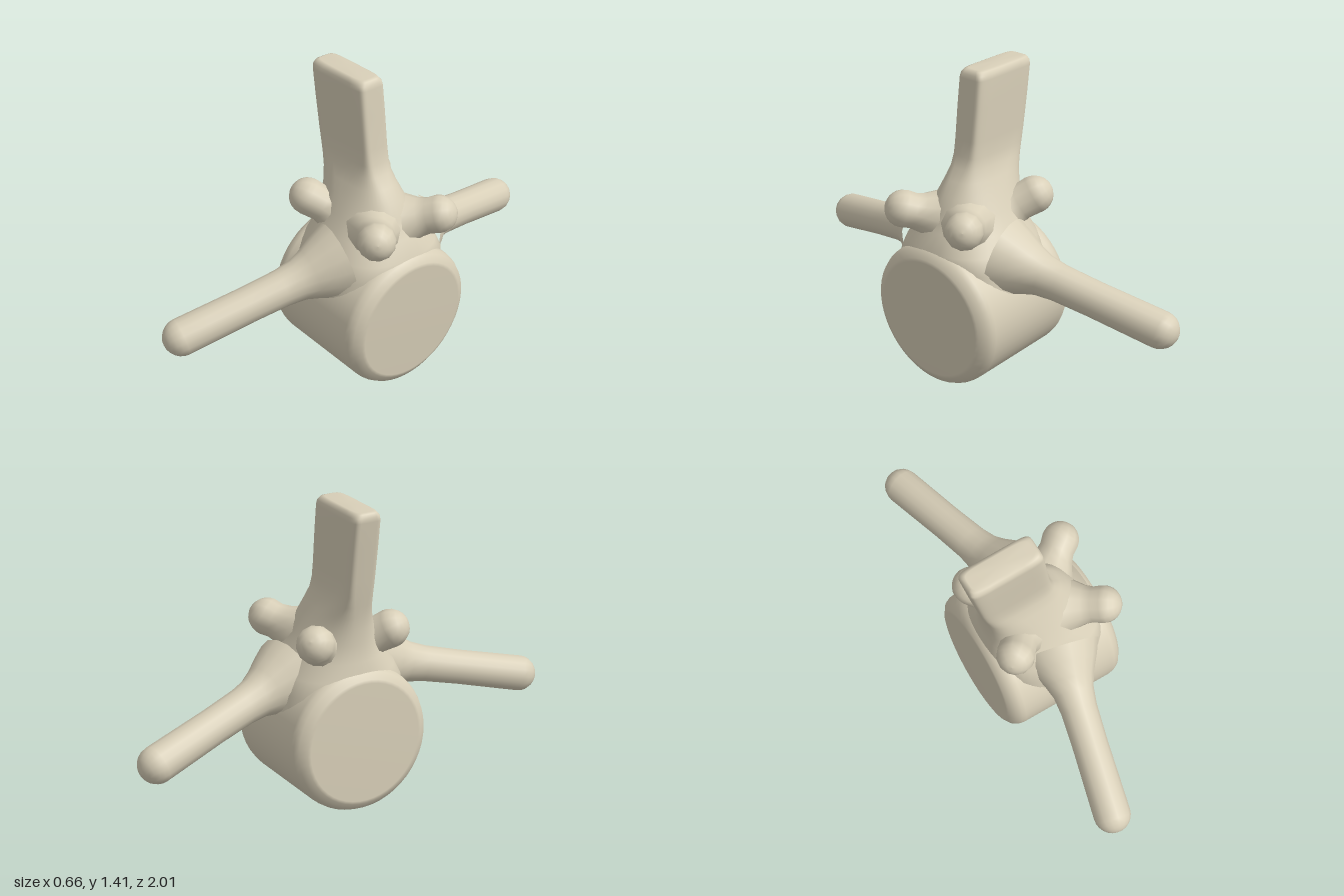
import * as THREE from 'three';

const bone = new THREE.MeshStandardMaterial({ color: 0xd8cfb8 });
bone.name = 'bone';
const V = (x, y, z) => new THREE.Vector3(x, y, z);

// Turned solid along the line from a to b; profile holds [radius, distance from a]
function turned(name, a, b, profile, sides) {
  const geo = new THREE.LatheGeometry(profile.map(([r, d]) => new THREE.Vector2(r, d)), sides);
  const mesh = new THREE.Mesh(geo, bone);
  mesh.position.copy(a);
  mesh.quaternion.setFromUnitVectors(V(0, 1, 0), b.clone().sub(a).normalize());
  mesh.name = name;
  return mesh;
}

// Flared stalk ending in a rounded tip at b
function stalk(name, a, b, shaft, tip, sides) {
  const len = a.distanceTo(b);
  const profile = [...shaft];
  for (let i = 0; i <= 6; i++) {
    const t = (i / 6) * Math.PI / 2;
    profile.push([tip * Math.cos(t), len - tip * (1 - Math.sin(t))]);
  }
  return turned(name, a, b, profile, sides);
}

// Superellipse rings stacked upward: [y, xMin, xMax, half depth, exponent]
function loft(name, rings, n) {
  const pos = [], idx = [];
  const p = (v, e) => Math.sign(v) * Math.pow(Math.abs(v), e);
  rings.forEach(([y, x0, x1, hz, e], i) => {
    for (let j = 0; j < n; j++) {
      const t = (j / n) * Math.PI * 2;
      pos.push((x0 + x1) / 2 + (x1 - x0) / 2 * p(Math.cos(t), e), y, hz * p(Math.sin(t), e));
      if (i === rings.length - 1) continue;
      const a = i * n + j, c = i * n + (j + 1) % n;
      idx.push(a, a + n, c, c, a + n, c + n);
    }
  });
  const geo = new THREE.BufferGeometry();
  geo.setAttribute('position', new THREE.Float32BufferAttribute(pos, 3));
  geo.setIndex(idx);
  geo.computeVertexNormals();
  const mesh = new THREE.Mesh(geo, bone);
  mesh.name = name;
  return mesh;
}

export function createModel() {
  const model = new THREE.Group();
  model.name = 'vertebra';

  // Drum-shaped body, slightly tilted, with softened rims
  const L = 0.595, R = 0.333;
  model.add(turned('vertebralBody', V(-0.317, 0.36, 0), V(0.277, 0.329, 0), [
    [0, 0], [R - 0.06, 0], [R - 0.045, 0.004], [R - 0.015, 0.025], [R - 0.003, 0.05], [R, 0.07],
    [R, L - 0.07], [R - 0.003, L - 0.05], [R - 0.015, L - 0.025], [R - 0.045, L - 0.004], [R - 0.06, L], [0, L],
  ], 48));

  // Arch narrowing upward into the flat spine blade
  model.add(loft('archAndSpineBlade', [
    [0.45, -0.28, 0.25, 0.31, 0.7],
    [0.58, -0.29, 0.27, 0.295, 0.75],
    [0.65, -0.285, 0.265, 0.262, 0.8],
    [0.72, -0.265, 0.215, 0.215, 0.9],
    [0.80, -0.26, 0.185, 0.17, 0.9],
    [0.87, -0.26, 0.15, 0.135, 0.85],
    [0.93, -0.265, 0.11, 0.105, 0.7],
    [0.98, -0.273, 0.075, 0.083, 0.5],
    [1.03, -0.281, 0.055, 0.072, 0.35],
    [1.10, -0.292, 0.043, 0.07, 0.3],
    [1.25, -0.313, 0.027, 0.07, 0.28],
    [1.37, -0.33, 0.014, 0.069, 0.28],
    [1.39, -0.33, 0.01, 0.066, 0.3],
    [1.405, -0.322, 0, 0.056, 0.35],
    [1.41, -0.31, -0.015, 0.045, 0.4],
    [1.41, -0.165, -0.155, 0, 1],
  ], 48));

  for (const s of [1, -1]) {
    const side = s > 0 ? 'front' : 'back';
    // Long sideways arm, flared where it leaves the arch
    model.add(stalk(side + 'TransverseArm', V(0.01, 0.6, s * 0.2), V(-0.185, 0.41, s * 1.0),
      [[0.18, 0], [0.15, 0.07], [0.115, 0.14], [0.093, 0.2], [0.083, 0.28], [0.08, 0.45], [0.082, 0.65]],
      0.083, 16));
    // Short knobs around the arch
    model.add(stalk(side + 'RightKnob', V(-0.09, 0.72, s * 0.06), V(-0.26, 0.865, s * 0.24),
      [[0.14, 0.02], [0.1, 0.09], [0.08, 0.13]], 0.085, 12));
    model.add(stalk(side + 'LeftKnob', V(0.07, 0.73, s * 0.05), V(0.305, 0.82, s * 0.225),
      [[0.15, 0.02], [0.115, 0.08], [0.088, 0.14], [0.08, 0.18]], 0.085, 12));
  }
  return model;
}
